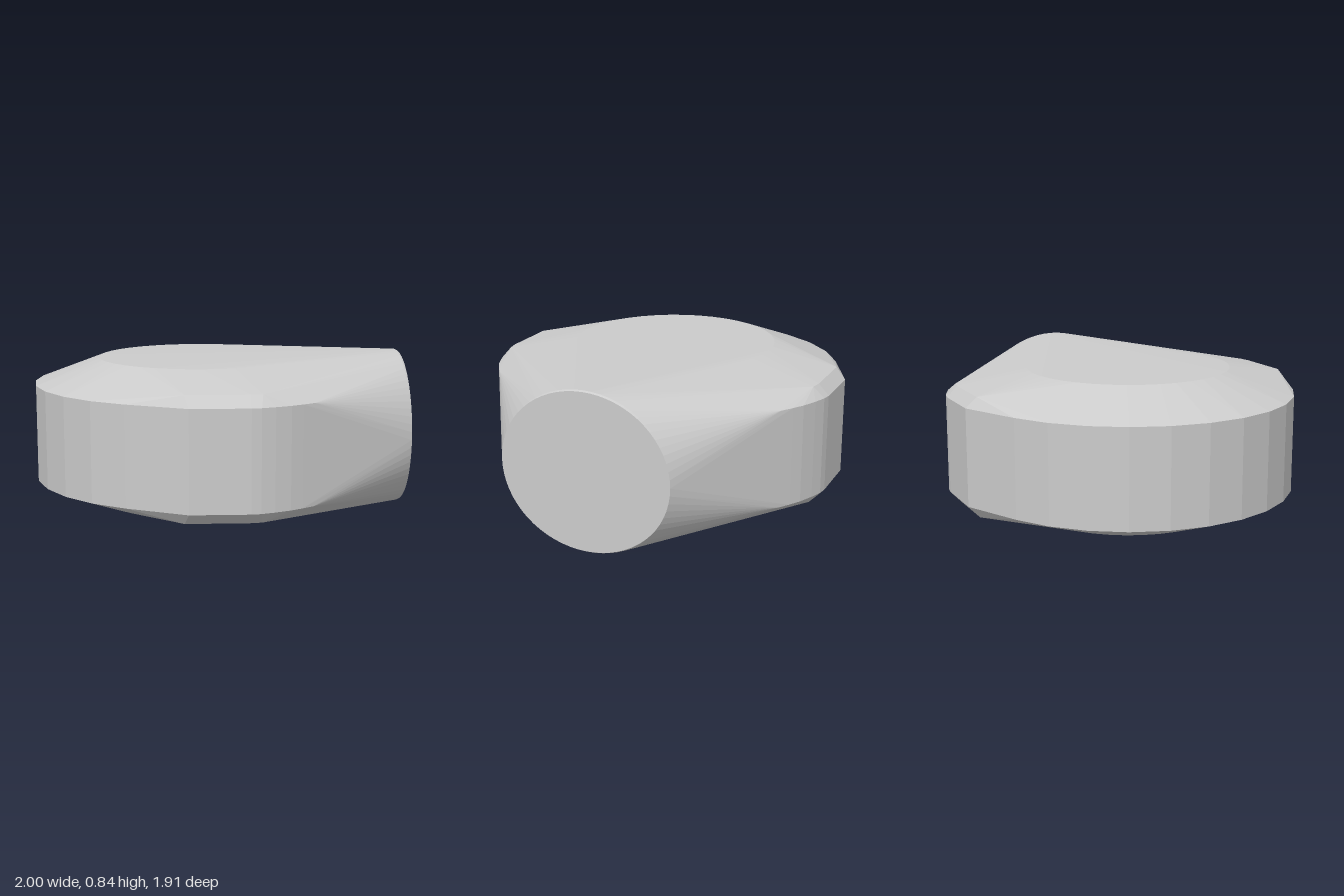
import * as THREE from 'three';
import { ConvexGeometry } from 'three/addons/geometries/ConvexGeometry.js';

const MID = 0.425; // height of the horizontal symmetry plane

export function createModel() {
  const group = new THREE.Group();
  const points = [];

  // adds a point with its mirror images above/below and front/back
  const mirrored = (x, h, z) => {
    for (const sy of [1, -1]) for (const sz of [1, -1]) {
      points.push(new THREE.Vector3(x, MID + sy * h, sz * z));
    }
  };

  // horizontal circles at +h and -h from the mid plane
  const ring = (radius, h, segments) => {
    for (let i = 0; i <= segments / 2; i++) {
      const a = (i / segments) * Math.PI * 2;
      mirrored(-0.1 - radius * Math.cos(a), h, radius * Math.sin(a));
    }
  };
  ring(0.9, 0.26, 28); // outer rim
  ring(0.55, 0.393, 40); // raised plateau

  // flat cheeks on both sides, curving toward the round end
  for (const [x, z] of [[-0.18, 0.955], [0.12, 0.955], [0.17, 0.947], [0.24, 0.922], [0.32, 0.886], [0.38, 0.85], [0.44, 0.81]]) {
    mirrored(x, 0.26, z);
  }
  // chamfer above and below the cheeks
  for (const [x, z] of [[-0.2, 0.9], [0.12, 0.9], [0.18, 0.89]]) mirrored(x, 0.318, z);

  // round end face with a fine bevel
  for (const [x, inset] of [[0.99, 0], [1, 0.006]]) {
    for (let i = 0; i <= 16; i++) {
      const a = (i / 16) * Math.PI / 2;
      mirrored(x, (0.422 - inset) * Math.sin(a), (0.466 - inset) * Math.cos(a));
    }
  }

  // drop coincident points before wrapping the hull
  const unique = [...new Map(points.map((p) => [p.toArray().map((v) => Math.round(v * 1e4)).join(), p])).values()];
  const body = new THREE.Mesh(
    new ConvexGeometry(unique),
    new THREE.MeshStandardMaterial({ color: 0xcccccc })
  );
  body.name = 'body';
  group.add(body);
  return group;
}
